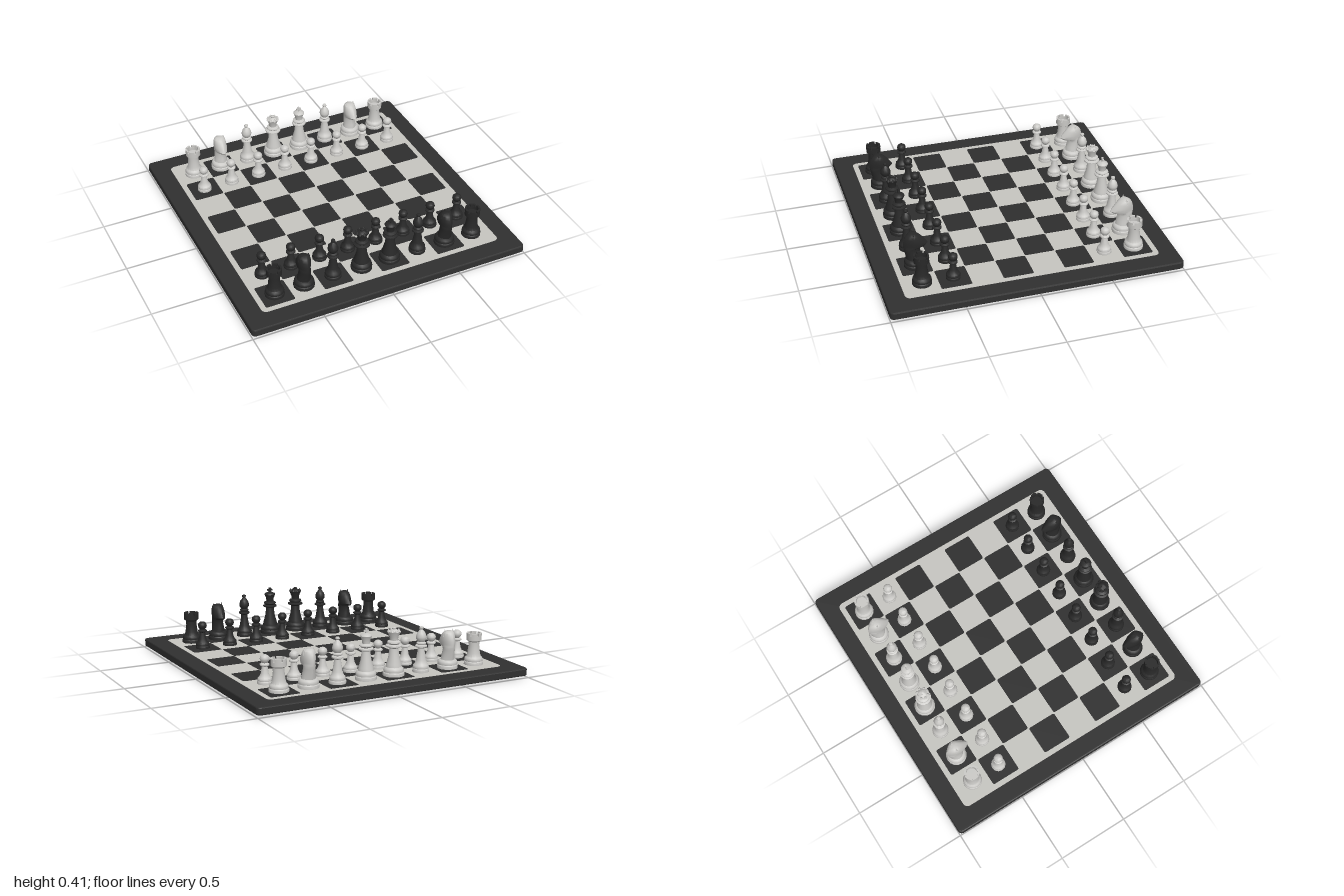
import * as THREE from 'three';
import { toCreasedNormals } from 'three/addons/utils/BufferGeometryUtils.js';

const mat = (name, color) => {
  const m = new THREE.MeshStandardMaterial({ color });
  m.name = name;
  return m;
};

// rounded rectangle outline centred on the origin
function roundedSquare(size, r) {
  const h = size / 2, s = new THREE.Shape();
  s.absarc(h - r, h - r, r, 0, Math.PI / 2);
  s.absarc(-h + r, h - r, r, Math.PI / 2, Math.PI);
  s.absarc(-h + r, -h + r, r, Math.PI, Math.PI * 1.5);
  s.absarc(h - r, -h + r, r, Math.PI * 1.5, Math.PI * 2);
  s.closePath();
  return s;
}

// flat slab lying in the xz plane, bottom at y = 0
function slab(shape, height, bevel = 0) {
  const g = new THREE.ExtrudeGeometry(shape, {
    depth: height - 2 * bevel, bevelEnabled: bevel > 0, bevelSize: bevel,
    bevelThickness: bevel, bevelOffset: -bevel, bevelSegments: 2, curveSegments: 5,
  });
  return g.rotateX(-Math.PI / 2).translate(0, bevel, 0);
}

// turned part from [radius, y] pairs, listed from bottom to top
const turned = (profile, segments = 16) => toCreasedNormals(
  new THREE.LatheGeometry(profile.map(([r, y]) => new THREE.Vector2(r, y)), segments), 0.7);

// moulded foot shared by all pieces
const foot = (r, h) => [[0, 0], [r, 0], [r, h * 0.35], [r * 0.93, h * 0.45],
  [r * 0.96, h * 0.6], [r * 0.9, h * 0.85], [r * 0.74, h]];

// n copies of a geometry set around the axis
const ring = (n, make) => Array.from({ length: n }, (_, i) => make().rotateY((i / n) * Math.PI * 2));

function pawnParts() {
  return [['pawnBody', turned([...foot(0.05, 0.045), [0.026, 0.07], [0.019, 0.115], [0.032, 0.122],
    [0.032, 0.13], [0.018, 0.138], [0.028, 0.15], [0.032, 0.165], [0.028, 0.18], [0.016, 0.19], [0, 0.193]], 12)]];
}

function rookParts() {
  const merlon = () => {
    const s = new THREE.Shape();
    s.absarc(0, 0, 0.052, -0.4, 0.4, false);
    s.absarc(0, 0, 0.039, 0.4, -0.4, true);
    return slab(s, 0.018).translate(0, 0.199, 0);
  };
  return [
    ['rookTower', turned([...foot(0.066, 0.055), [0.043, 0.08], [0.037, 0.13], [0.038, 0.158],
      [0.052, 0.168], [0.052, 0.2], [0.039, 0.2], [0.039, 0.18], [0, 0.18]])],
    ...ring(6, merlon).map((g) => ['rookMerlon', g]),
  ];
}

function bishopParts() {
  return [['bishopBody', turned([...foot(0.057, 0.055), [0.034, 0.08], [0.024, 0.14], [0.022, 0.16],
    [0.04, 0.17], [0.04, 0.178], [0.025, 0.184], [0.032, 0.19], [0.032, 0.197], [0.022, 0.204],
    [0.034, 0.222], [0.036, 0.238], [0.028, 0.262], [0.014, 0.28], [0.009, 0.286],
    [0.015, 0.294], [0.013, 0.304], [0, 0.309]])]];
}

function queenParts() {
  const point = () => new THREE.ConeGeometry(0.012, 0.02, 6).translate(0.036, 0.304, 0);
  return [
    ['queenBody', turned([...foot(0.072, 0.06), [0.05, 0.08], [0.036, 0.13], [0.03, 0.185],
      [0.055, 0.197], [0.055, 0.205], [0.036, 0.212], [0.046, 0.222], [0.044, 0.23], [0.027, 0.238],
      [0.029, 0.26], [0.045, 0.297], [0.034, 0.297], [0.026, 0.305], [0.013, 0.312],
      [0.014, 0.32], [0, 0.326]])],
    ...ring(8, point).map((g) => ['queenCrownPoint', g]),
  ];
}

function kingParts() {
  return [
    ['kingBody', turned([...foot(0.072, 0.06), [0.05, 0.08], [0.036, 0.13], [0.028, 0.19],
      [0.05, 0.2], [0.05, 0.208], [0.034, 0.214], [0.045, 0.224], [0.044, 0.231], [0.026, 0.24],
      [0.028, 0.262], [0.04, 0.29], [0.036, 0.298], [0.014, 0.308], [0, 0.309]])],
    ['kingCrossUpright', new THREE.BoxGeometry(0.012, 0.036, 0.012).translate(0, 0.322, 0)],
    ['kingCrossBar', new THREE.BoxGeometry(0.036, 0.012, 0.012).translate(0, 0.323, 0)],
  ];
}

// horse head lofted from lens-shaped sections: [y, back z, front z, half width]
function horseHead() {
  const sections = [[0.05, -0.052, 0.052, 0.05], [0.09, -0.058, 0.048, 0.043], [0.13, -0.068, 0.04, 0.038],
    [0.148, -0.071, 0.046, 0.039], [0.154, -0.072, 0.08, 0.041], [0.168, -0.072, 0.094, 0.043],
    [0.19, -0.07, 0.08, 0.046], [0.22, -0.062, 0.058, 0.044], [0.242, -0.048, 0.036, 0.04],
    [0.254, -0.03, 0.015, 0.028], [0.256, -0.008, -0.008, 0]];
  const n = 16, pos = [], idx = [];
  for (const [y, back, front, w] of sections) {
    for (let i = 0; i < n; i++) {
      const t = (i / n) * Math.PI * 2, s = Math.sin(t);
      pos.push(w * s * Math.abs(s) ** 0.4, y, (front + back) / 2 + ((front - back) / 2) * Math.cos(t));
    }
  }
  for (let j = 0; j < sections.length - 1; j++) {
    for (let i = 0; i < n; i++) {
      const a = j * n + i, b = j * n + ((i + 1) % n);
      idx.push(a, b, b + n, a, b + n, a + n);
    }
  }
  const g = new THREE.BufferGeometry();
  g.setAttribute('position', new THREE.Float32BufferAttribute(pos, 3));
  g.setIndex(idx);
  return toCreasedNormals(g, 0.7);
}

function knightParts() {
  const ear = (side) => new THREE.ConeGeometry(0.015, 0.05, 6).translate(side * 0.031, 0.243, -0.008);
  return [
    ['knightBase', turned([...foot(0.071, 0.06), [0, 0.062]])],
    ['knightHead', horseHead()],
    ['knightEar', ear(1)],
    ['knightEar', ear(-1)],
  ];
}

export function createModel() {
  const model = new THREE.Group();
  model.name = 'chessSet';
  const frame = mat('frame charcoal', 0x303030);
  const lightBoard = mat('board light grey', 0xc6c5c0);
  const darkBoard = mat('square charcoal', 0x2e2e2e);
  const lightPiece = mat('piece light grey', 0xcac9c6);
  const darkPiece = mat('piece black', 0x282828);

  const add = (parent, name, geometry, material, x = 0, y = 0, z = 0) => {
    const m = new THREE.Mesh(geometry, material);
    m.name = name;
    m.position.set(x, y, z);
    parent.add(m);
  };

  // board
  const top = 0.068, pitch = 0.2092, at = (i) => (i - 3.5) * pitch;
  add(model, 'boardFrame', slab(roundedSquare(2, 0.03), 0.053, 0.008), frame, 0, 0.013, 0);
  add(model, 'boardPanel', slab(roundedSquare(1.744, 0.035), 0.003), lightBoard, 0, 0.0645, -0.003);
  const square = slab(roundedSquare(0.206, 0.012), 0.003);
  for (let r = 0; r < 8; r++) {
    for (let c = 0; c < 8; c++) {
      if ((r + c) % 2) add(model, 'darkSquare', square, darkBoard, at(c), 0.066, at(r) - 0.003);
    }
  }

  // shallow pads under the back corners
  add(model, 'leftPad', new THREE.SphereGeometry(0.04, 12, 6).scale(1, 0.35, 1), frame, 0.915, 0.014, -0.915);
  add(model, 'rightPad', new THREE.SphereGeometry(0.04, 12, 6).scale(1, 0.15, 1), frame, -0.92, 0.014, -0.92);

  // pieces, both sides facing the middle
  const kinds = { pawn: pawnParts(), rook: rookParts(), knight: knightParts(),
    bishop: bishopParts(), queen: queenParts(), king: kingParts() };
  const order = ['rook', 'knight', 'bishop', 'queen', 'king', 'bishop', 'knight', 'rook'];
  const place = (kind, side, x, z, material) => {
    const g = new THREE.Group();
    g.name = `${side}${kind[0].toUpperCase()}${kind.slice(1)}`;
    for (const [name, geometry] of kinds[kind]) add(g, name, geometry, material);
    g.position.set(x, top, z);
    if (side === 'dark') g.rotation.y = Math.PI;
    model.add(g);
  };
  order.forEach((kind, i) => {
    place(kind, 'light', at(i), at(0) - 0.003, lightPiece);
    place('pawn', 'light', at(i), at(1) - 0.003, lightPiece);
    place('pawn', 'dark', at(i), at(6) - 0.003, darkPiece);
    place(kind, 'dark', at(i), at(7) - 0.003, darkPiece);
  });
  return model;
}
